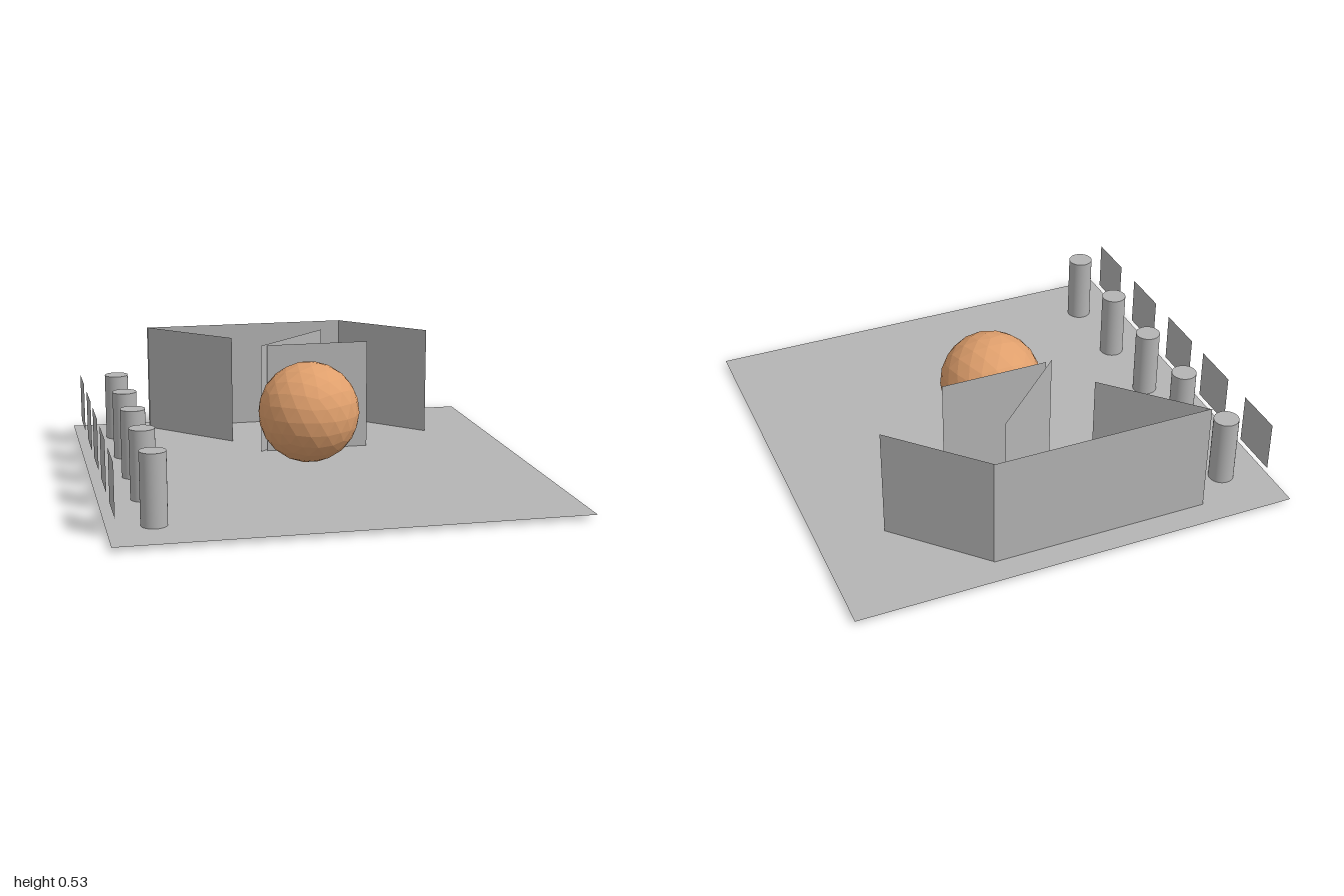
import * as THREE from 'three';

export function createModel() {
  const model = new THREE.Group();
  model.name = 'courtyard';

  const grey = new THREE.MeshStandardMaterial({ color: 0xb4b4b4, side: THREE.DoubleSide });
  grey.name = 'concrete grey';
  const orange = new THREE.MeshStandardMaterial({ color: 0xdf9f6c, flatShading: true });
  orange.name = 'warm orange';

  const add = (name, geometry, material, x, y, z) => {
    const mesh = new THREE.Mesh(geometry, material);
    mesh.name = name;
    mesh.position.set(x, y, z);
    model.add(mesh);
    return mesh;
  };

  // Thin ground sheet
  add('ground', new THREE.PlaneGeometry(2, 2).rotateX(-Math.PI / 2), grey, 0, 0.02, 0);

  // Faceted ball with one vertex pointing straight up
  const ball = new THREE.IcosahedronGeometry(0.231, 3);
  ball.rotateX(-Math.atan((1 + Math.sqrt(5)) / 2));
  add('ball', ball, orange, 0, 0.275, 0);

  // Row of columns along the right side
  const columnGeometry = new THREE.CylinderGeometry(0.056, 0.056, 0.33, 32);
  [-0.735, -0.35, 0.005, 0.365, 0.745].forEach((z, i) =>
    add(`column${i + 1}`, columnGeometry, grey, -0.803, 0.166, z));

  // Square panels standing behind the columns
  const squareGeometry = new THREE.PlaneGeometry(0.232, 0.232).rotateY(Math.PI / 2);
  [-0.727, -0.345, -0.005, 0.357, 0.73].forEach((z, i) =>
    add(`squarePanel${i + 1}`, squareGeometry, grey, -0.97, 0.202, z));

  // Upright sheet walls, each from one plan point [x, z] to another
  const wall = (name, [x1, z1], [x2, z2]) => {
    const sheet = new THREE.PlaneGeometry(Math.hypot(x2 - x1, z2 - z1), 0.52);
    const mesh = add(name, sheet, grey, (x1 + x2) / 2, 0.271, (z1 + z2) / 2);
    mesh.rotation.y = -Math.atan2(z2 - z1, x2 - x1);
  };
  wall('backWall', [-0.63, -0.885], [0.355, -0.885]);
  wall('leftWingWall', [0.35, -0.885], [0.707, -0.52]);
  wall('rightWingWall', [-0.625, -0.885], [-0.265, -0.52]);
  wall('innerFrontWall', [-0.135, -0.302], [0.35, -0.302]);
  wall('innerDiagonalWall', [-0.165, -0.295], [0.205, -0.65]);

  return model;
}
